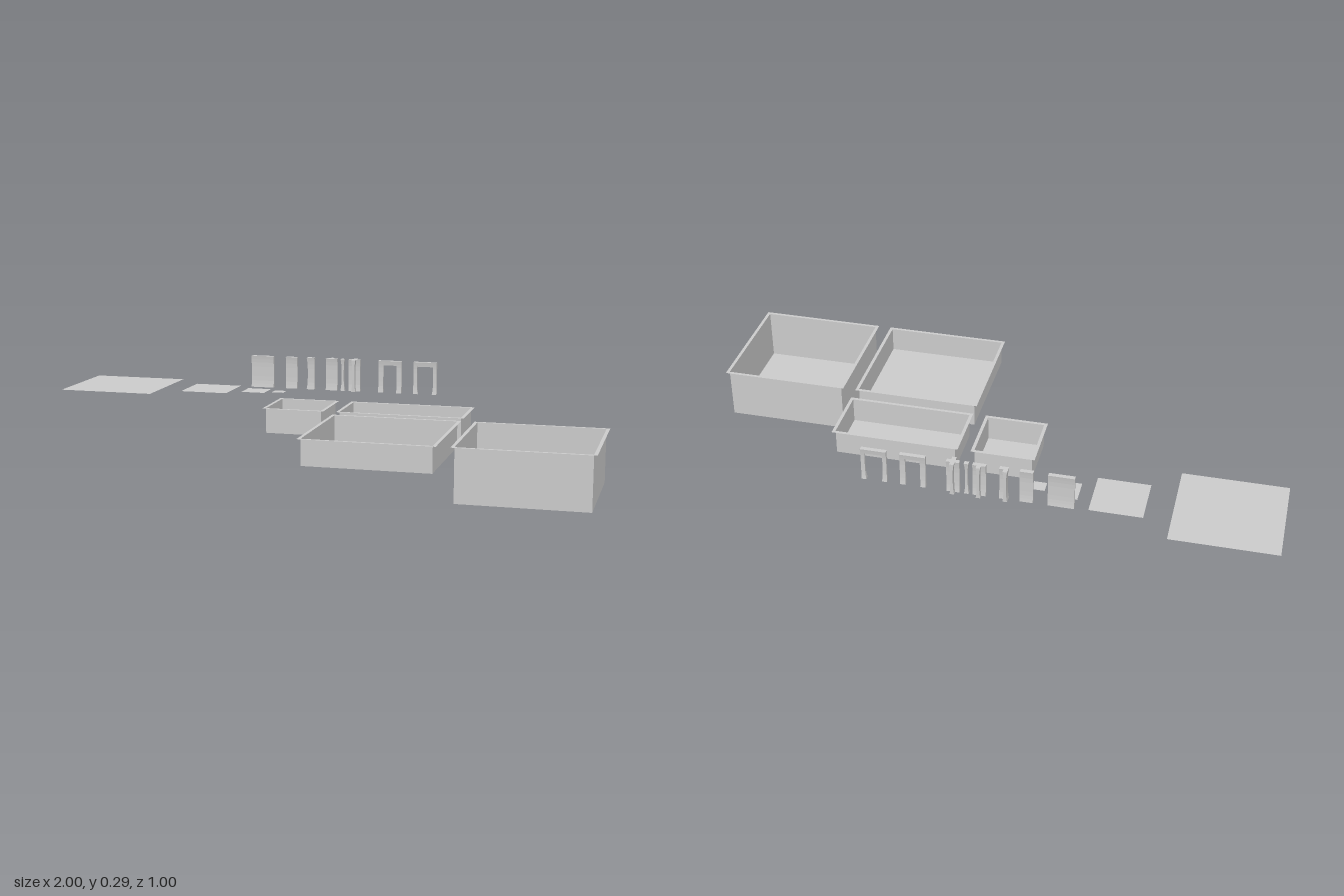
import * as THREE from 'three';

const GROUND = 0.175, TOP = 0.291, WALL_Z = -0.412, HALF = 0.0215;
const mat = new THREE.MeshStandardMaterial({ color: 0xcccccc, flatShading: true, side: THREE.DoubleSide });

function add(parent, geo, name) {
  const mesh = new THREE.Mesh(geo, mat);
  mesh.name = name;
  parent.add(mesh);
  return mesh;
}

// Half thickness of a wall: waisted, flaring toward foot and top
const LEVELS = [0, 0.04, 0.11, 0.21, 0.35, 0.65, 0.79, 0.89, 0.96, 1];
function halfAt(t) {
  const e = Math.min(1, Math.min(t, 1 - t) / 0.35);
  return 0.004 + 0.0035 * (1 - e) ** 2;
}

// Wall section from x0 to x1; each end may follow the same flare
function wallGeo(x0, x1, flareL = false, flareR = false, t0 = 0) {
  const ts = [t0, ...LEVELS.filter(t => t > t0)];
  const n = ts.length - 1;
  const geo = new THREE.BoxGeometry(1, 1, 1, 1, n, 1);
  const p = geo.attributes.position;
  for (let i = 0; i < p.count; i++) {
    const t = ts[Math.round((p.getY(i) + 0.5) * n)];
    const h = halfAt(t);
    const right = p.getX(i) > 0;
    const bulge = h - 0.0075;
    const x = right ? x1 + (flareR ? bulge : 0) : x0 - (flareL ? bulge : 0);
    p.setXYZ(i, x, GROUND + t * (TOP - GROUND), Math.sign(p.getZ(i)) * h);
  }
  return geo;
}

// Open pit with thin sides and a flat rim around its mouth
function pit(parent, name, x, z, w, d, h) {
  const g = new THREE.Group();
  g.name = name;
  g.position.set(x, GROUND, z);
  const floor = add(g, new THREE.PlaneGeometry(w, d), 'pitFloor');
  floor.rotation.x = -Math.PI / 2;
  floor.position.y = -h;
  for (const s of [-1, 1]) {
    const a = add(g, new THREE.PlaneGeometry(w, h), 'pitWall');
    a.position.set(0, -h / 2, s * d / 2);
    if (s < 0) a.rotation.y = Math.PI;
    const b = add(g, new THREE.PlaneGeometry(d, h), 'pitWall');
    b.position.set(s * w / 2, -h / 2, 0);
    b.rotation.y = s * Math.PI / 2;
  }
  const rect = (C, a, b) => new C([[-a, -b], [a, -b], [a, b], [-a, b]].map(q => new THREE.Vector2(...q)));
  const rim = rect(THREE.Shape, w / 2 + 0.011, d / 2 + 0.011);
  rim.holes.push(rect(THREE.Path, w / 2, d / 2));
  add(g, new THREE.ShapeGeometry(rim), 'pitRim').rotation.x = -Math.PI / 2;
  parent.add(g);
}

// Wall junction: a flared post with arms given as [dx, dz]
function junction(parent, name, x, arms) {
  const g = new THREE.Group();
  g.name = name;
  g.position.set(x, 0, WALL_Z);
  add(g, wallGeo(-0.0075, 0.0075, true, true), 'post');
  for (const [dx, dz] of arms) {
    add(g, wallGeo(0, HALF), 'arm').rotation.y = Math.atan2(-dz, dx);
  }
  parent.add(g);
}

// Doorway: two jambs under a lintel
function doorway(parent, name, x, flared) {
  const g = new THREE.Group();
  g.name = name;
  g.position.set(x, 0, WALL_Z);
  const w = 0.0425, open = flared ? 0.026 : 0.0245;
  add(g, wallGeo(-w, -open, false, flared), 'leftJamb');
  add(g, wallGeo(open, w, flared, false), 'rightJamb');
  add(g, wallGeo(-open - 0.003, open + 0.003, false, false, 0.86), 'lintel');
  parent.add(g);
}

export function createModel() {
  const model = new THREE.Group();
  model.name = 'modularRoomKit';

  // Floor tiles, each half the size of the last
  [[-0.827, 0.346], [-0.481, 0.173], [-0.308, 0.0865], [-0.22, 0.043]].forEach(([x, s]) => {
    const tile = add(model, new THREE.PlaneGeometry(s, s), 'floorTile');
    tile.rotation.x = -Math.PI / 2;
    tile.position.set(x, GROUND, -0.327);
  });

  // Pits
  pit(model, 'deepPit', 0.782, 0.284, 0.414, 0.412, 0.175);
  pit(model, 'shallowPit', 0.302, 0.284, 0.414, 0.412, 0.086);
  pit(model, 'longPit', 0.302, -0.087, 0.414, 0.194, 0.086);
  pit(model, 'smallPit', -0.068, -0.087, 0.194, 0.194, 0.086);

  // Straight walls
  add(model, wallGeo(-0.35, -0.265), 'fullWall').position.z = WALL_Z;
  add(model, wallGeo(-0.218, -0.175), 'halfWall').position.z = WALL_Z;

  // Corner, tee, post and cross
  const E = [1, 0], W = [-1, 0], N = [0, -1], S = [0, 1];
  junction(model, 'cornerWall', -0.131, [E, N]);
  junction(model, 'teeWall', -0.0445, [E, W, N]);
  junction(model, 'wallPost', -0.003, []);
  junction(model, 'crossWall', 0.041, [E, W, N, S]);

  // Doorways
  doorway(model, 'plainDoorway', 0.173, false);
  doorway(model, 'flaredDoorway', 0.302, true);
  return model;
}
